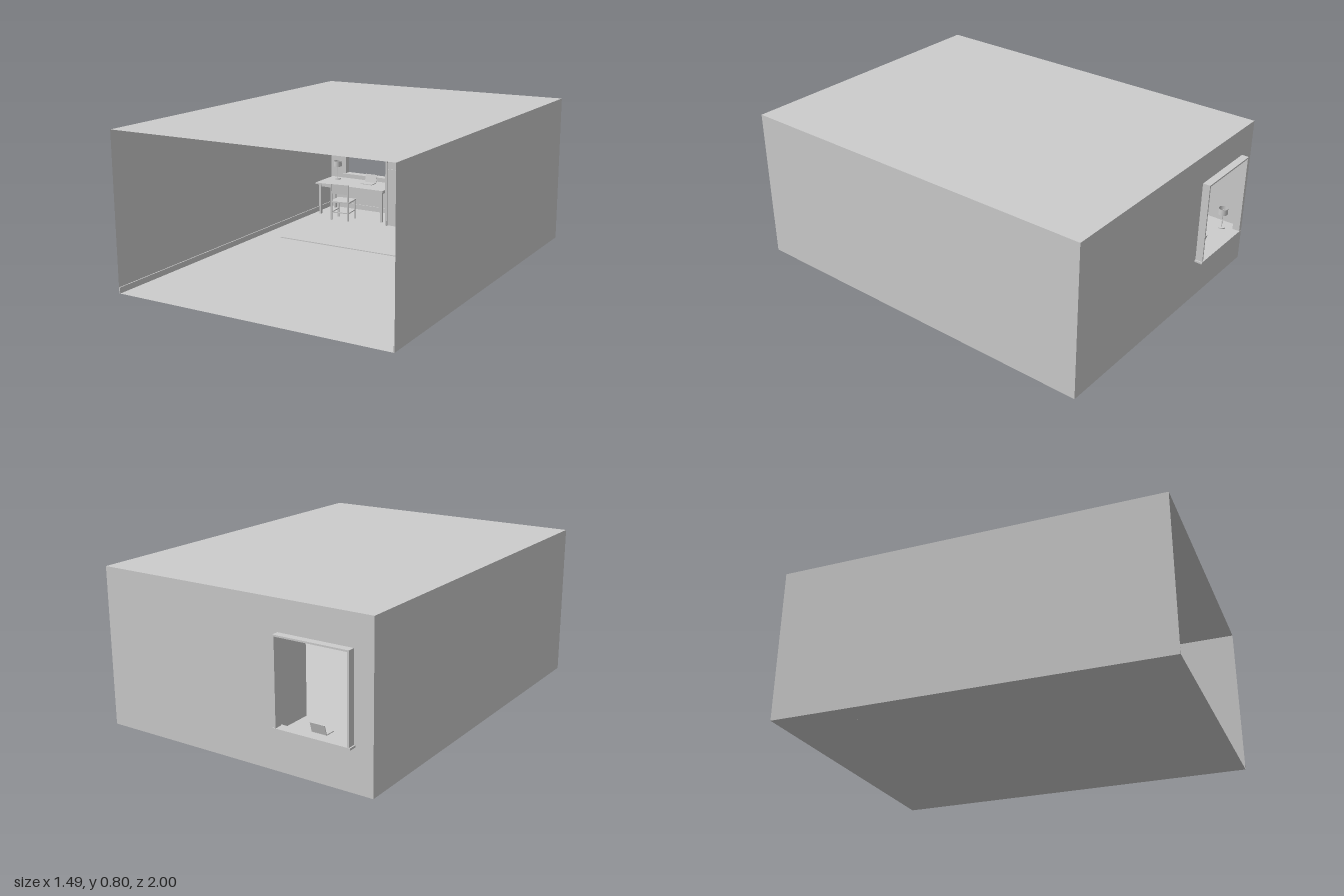
import * as THREE from 'three';

export function createModel() {
  const root = new THREE.Group();
  root.name = 'room';
  const grey = new THREE.MeshStandardMaterial({ color: 0xcccccc, side: THREE.DoubleSide });
  grey.name = 'plain grey';

  const group = (name, x = 0, y = 0, z = 0) => {
    const g = new THREE.Group();
    g.name = name;
    g.position.set(x, y, z);
    root.add(g);
    return g;
  };
  const add = (parent, name, geo, x = 0, y = 0, z = 0) => {
    const m = new THREE.Mesh(geo, grey);
    m.name = name;
    m.position.set(x, y, z);
    parent.add(m);
    return m;
  };
  // box given by its limits on each axis
  const box = (parent, name, x0, x1, y0, y1, z0, z1) =>
    add(parent, name, new THREE.BoxGeometry(x1 - x0, y1 - y0, z1 - z0),
      (x0 + x1) / 2, (y0 + y1) / 2, (z0 + z1) / 2);
  // cylinder standing on y
  const cyl = (parent, name, rTop, rBottom, h, x, y, z, open = false, sides = 32) =>
    add(parent, name, new THREE.CylinderGeometry(rTop, rBottom, h, sides, 1, open), x, y + h / 2, z);
  const lathe = (parent, name, pts) =>
    add(parent, name, new THREE.LatheGeometry(pts.map(p => new THREE.Vector2(...p)), 32));

  // Room shell, open at the front
  const W = 0.743, H = 0.795, Z0 = -0.96, Z1 = 1, D = Z1 - Z0, ZC = (Z0 + Z1) / 2;
  const win = { x0: -0.638, x1: -0.268, y0: 0.215, y1: 0.64 };
  const shell = group('shell');
  add(shell, 'floor', new THREE.PlaneGeometry(2 * W, D), 0, 0, ZC).rotation.x = -Math.PI / 2;
  add(shell, 'ceiling', new THREE.PlaneGeometry(2 * W, D), 0, H, ZC).rotation.x = Math.PI / 2;
  for (const s of [-1, 1]) {
    add(shell, 'sideWall', new THREE.PlaneGeometry(D, H), s * W, H / 2, ZC).rotation.y = -s * Math.PI / 2;
    add(shell, 'sideBaseboard', new THREE.BoxGeometry(0.006, 0.03, D), s * (W - 0.003), 0.015, ZC);
  }
  box(shell, 'backBaseboard', -W, W, 0, 0.03, Z0, Z0 + 0.006);
  const rect = (S, x0, x1, y0, y1) => {
    const s = new S();
    s.moveTo(x0, y0); s.lineTo(x1, y0); s.lineTo(x1, y1); s.lineTo(x0, y1); s.closePath();
    return s;
  };
  const wall = rect(THREE.Shape, -W, W, 0, H);
  wall.holes.push(rect(THREE.Path, win.x0, win.x1, win.y0, win.y1));
  add(shell, 'backWall', new THREE.ShapeGeometry(wall), 0, 0, Z0);

  // Window reveal and sill
  const windowFrame = group('window');
  box(windowFrame, 'windowLeftJamb', win.x1, win.x1 + 0.008, win.y0, win.y1, -0.998, Z0);
  box(windowFrame, 'windowRightJamb', win.x0 - 0.008, win.x0, win.y0, win.y1, -0.998, Z0);
  box(windowFrame, 'windowHead', win.x0 - 0.008, win.x1 + 0.008, win.y1 - 0.004, win.y1 + 0.004, -0.998, Z0);
  box(windowFrame, 'windowSill', win.x0 - 0.015, win.x1 + 0.015, 0.211, 0.221, -1, Z0 + 0.012);

  // Rug
  box(root, 'rug', -0.61, 0.61, 0, 0.005, -0.66, -0.18);

  // Desk
  const desk = group('desk');
  box(desk, 'deskTop', -0.725, -0.258, 0.186, 0.196, -0.945, -0.74);
  box(desk, 'deskApron', -0.7, -0.27, 0.172, 0.186, -0.935, -0.755);
  for (const x of [-0.705, -0.279])
    for (const z of [-0.935, -0.762]) box(desk, 'deskLeg', x, x + 0.014, 0, 0.186, z, z + 0.014);

  // Laptop
  const laptop = group('laptop', -0.425, 0.196, -0.87);
  box(laptop, 'laptopBase', -0.039, 0.039, 0, 0.004, -0.025, 0.03);
  add(laptop, 'laptopScreen', new THREE.BoxGeometry(0.078, 0.05, 0.003), 0, 0.027, -0.032).rotation.x = -0.3;

  // Desk lamp and floor lamp
  const lamp = (name, x, y, z, baseR, poleR, shadeR, shadeY, shadeH) => {
    const g = group(name, x, y, z);
    cyl(g, 'lampBase', baseR, baseR, 0.006, 0, 0, 0);
    cyl(g, 'lampPole', poleR, poleR, shadeY + shadeH * 0.7, 0, 0, 0, false, 12);
    cyl(g, 'lampShade', shadeR * 0.97, shadeR, shadeH, 0, shadeY, 0, true);
  };
  lamp('deskLamp', -0.655, 0.196, -0.89, 0.019, 0.002, 0.025, 0.082, 0.033);
  lamp('floorLamp', 0.428, 0, -0.77, 0.036, 0.003, 0.044, 0.347, 0.063);

  // Chair, its back towards the room
  const chair = group('chair', -0.505, 0, -0.7);
  chair.rotation.y = 0.12;
  box(chair, 'chairSeat', -0.06, 0.06, 0.113, 0.121, -0.06, 0.055);
  for (const x of [-0.058, 0.05]) {
    box(chair, 'chairFrontLeg', x, x + 0.008, 0, 0.113, -0.056, -0.048);
    box(chair, 'chairBackPost', x, x + 0.008, 0, 0.226, 0.047, 0.055);
    box(chair, 'chairSideRail', x, x + 0.008, 0.05, 0.056, -0.05, 0.05);
  }
  box(chair, 'chairBackRail', -0.05, 0.05, 0.05, 0.056, 0.048, 0.054);
  box(chair, 'chairBackrest', -0.05, 0.05, 0.168, 0.226, 0.048, 0.054);

  // Tall cabinet with two doors
  const cabinet = group('cabinet');
  const cz = -0.7;
  box(cabinet, 'cabinetBody', -0.206, 0.206, 0.02, 0.66, Z0 + 0.008, cz - 0.008);
  for (const s of [-1, 1]) add(cabinet, 'cabinetSide', new THREE.BoxGeometry(0.012, 0.67, cz - Z0 - 0.008),
    s * 0.212, 0.335, (Z0 + 0.008 + cz) / 2);
  box(cabinet, 'cabinetTop', -0.206, 0.206, 0.66, 0.67, Z0 + 0.008, cz);
  box(cabinet, 'cabinetPlinth', -0.206, 0.206, 0, 0.02, Z0 + 0.008, cz - 0.012);
  box(cabinet, 'lowerDoor', -0.203, 0.203, 0.023, 0.342, cz - 0.008, cz - 0.002);
  box(cabinet, 'upperDoor', -0.203, 0.203, 0.348, 0.658, cz - 0.008, cz - 0.002);

  // Picture on the back wall
  const picture = group('picture');
  box(picture, 'pictureCanvas', 0.289, 0.624, 0.444, 0.637, Z0 + 0.001, Z0 + 0.008);
  for (const y of [0.44, 0.637]) box(picture, 'pictureRail', 0.286, 0.627, y, y + 0.004, Z0 + 0.001, Z0 + 0.012);
  for (const x of [0.286, 0.623]) box(picture, 'pictureStile', x, x + 0.004, 0.44, 0.641, Z0 + 0.001, Z0 + 0.012);

  // Low shelf with records, a box and magazines
  const shelf = group('lowShelf');
  const sb = -0.945, sf = -0.83;
  for (const y of [0.028, 0.131]) box(shelf, 'shelfBoard', 0.27, 0.51, y, y + 0.007, sb, sf);
  for (const x of [0.27, 0.399, 0.504]) box(shelf, 'shelfUpright', x, x + 0.006, 0.035, 0.131, sb, sf);
  box(shelf, 'shelfBack', 0.27, 0.51, 0.035, 0.131, sb, sb + 0.004);
  for (const x of [0.28, 0.49])
    for (const z of [-0.935, -0.85]) box(shelf, 'shelfFoot', x, x + 0.01, 0, 0.028, z, z + 0.01);
  for (let i = 0; i < 13; i++) {
    const h = 0.078 + 0.012 * Math.abs(Math.sin(i * 2.3));
    add(shelf, 'record', new THREE.BoxGeometry(0.005, h, 0.09), 0.283 + i * 0.009, 0.036 + h / 2, -0.89)
      .rotation.z = 0.05 * Math.sin(i * 1.7);
  }
  box(shelf, 'storageBox', 0.415, 0.495, 0.035, 0.062, -0.93, -0.84);
  box(shelf, 'smallBox', 0.425, 0.485, 0.062, 0.085, -0.92, -0.85);
  box(shelf, 'magazine', 0.29, 0.4, 0.138, 0.145, -0.93, -0.85);
  add(shelf, 'openMagazine', new THREE.BoxGeometry(0.07, 0.005, 0.06), 0.36, 0.15, -0.89).rotation.y = 0.3;

  // Leaf rising outwards from its base: angle round the stem, tilt from upright
  const leaf = (parent, x, y, z, turn, tilt, len, wide) => {
    const pivot = new THREE.Group();
    pivot.name = 'leafStalk';
    pivot.position.set(x, y, z);
    pivot.rotation.set(0, turn, -tilt, 'YXZ');
    add(pivot, 'leaf', new THREE.SphereGeometry(0.5, 12, 8), 0, len / 2, 0).scale.set(0.003, len, wide);
    parent.add(pivot);
  };

  // Large potted plant
  const plant = group('tallPlant', 0.64, 0, -0.84);
  cyl(plant, 'plantPot', 0.041, 0.038, 0.08, 0, 0, 0, true);
  cyl(plant, 'plantSoil', 0.039, 0.039, 0.07, 0, 0, 0);
  cyl(plant, 'plantStem', 0.002, 0.003, 0.29, 0, 0.07, 0, false, 8);
  for (let i = 0; i < 13; i++)
    leaf(plant, 0, 0.13 + i * 0.018, 0, i * 2.4, 1.0 - i * 0.055, 0.065, 0.028);

  // Small potted plant on the cabinet
  const small = group('smallPlant', 0.072, 0.67, -0.8);
  cyl(small, 'smallPot', 0.019, 0.017, 0.033, 0, 0, 0);
  for (let i = 0; i < 10; i++) leaf(small, 0, 0.03, 0, i * 2.4, 0.25 + 0.08 * i, 0.045, 0.01);

  // Bust on the cabinet
  const bust = group('bust', 0.183, 0.67, -0.8);
  lathe(bust, 'bustFoot', [[0, 0], [0.018, 0], [0.018, 0.005], [0.011, 0.009], [0.012, 0.016], [0, 0.016]]);
  const chest = lathe(bust, 'bustChest', [[0, 0.012], [0.016, 0.016], [0.026, 0.03], [0.033, 0.045],
    [0.028, 0.056], [0.011, 0.063], [0.01, 0.075], [0, 0.075]]);
  chest.scale.z = 0.65;
  add(bust, 'bustHead', new THREE.SphereGeometry(1, 20, 14), 0, 0.083, 0.002).scale.set(0.014, 0.018, 0.017);
  add(bust, 'bustNose', new THREE.ConeGeometry(0.003, 0.009, 6), 0, 0.083, 0.019);
  add(bust, 'bustHair', new THREE.SphereGeometry(1, 16, 12), 0, 0.088, -0.003).scale.set(0.016, 0.015, 0.016);

  return root;
}
